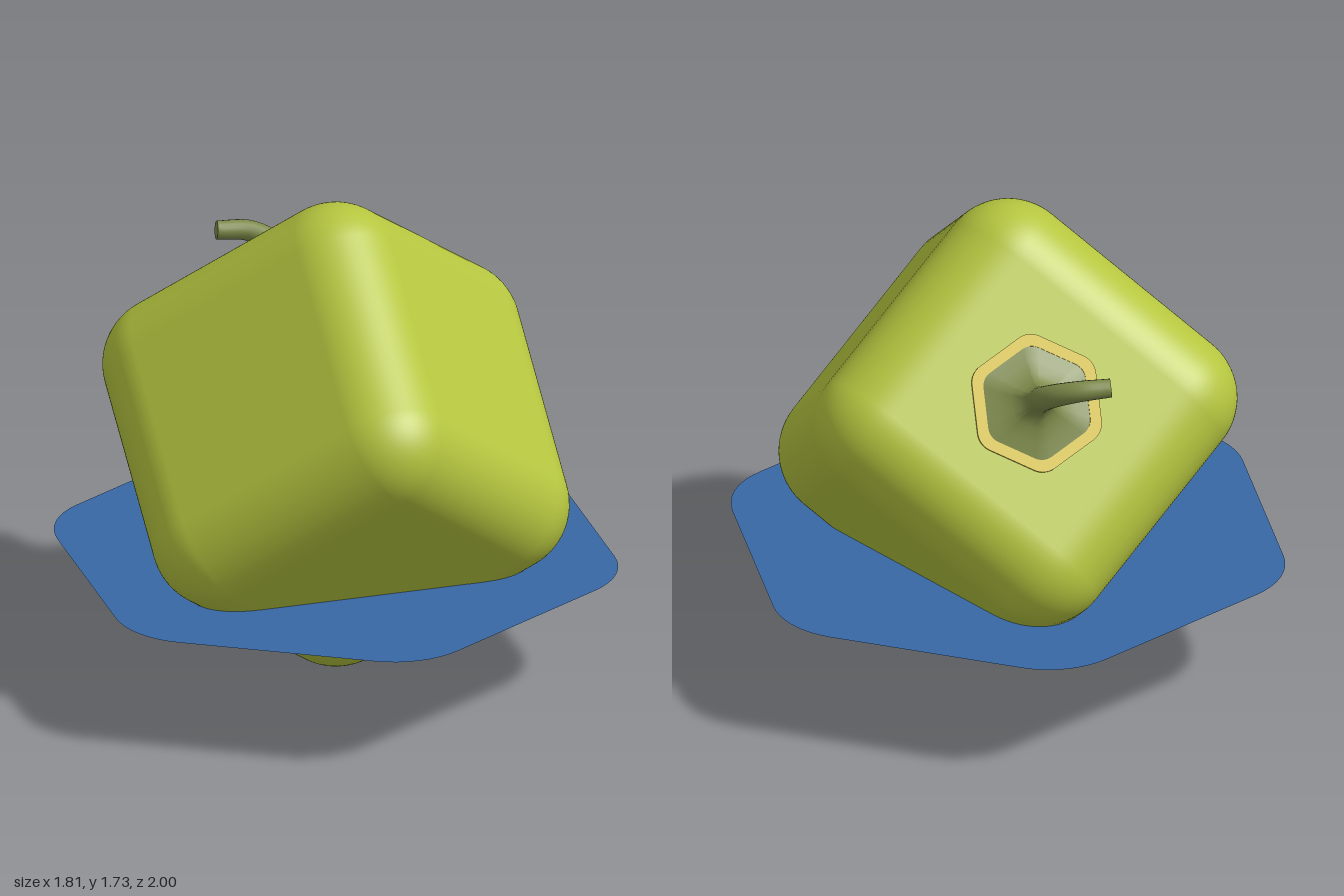
import * as THREE from 'three';
import { RoundedBoxGeometry } from 'three/addons/geometries/RoundedBoxGeometry.js';

const SIDE = 1.2, RADIUS = 0.24, CENTER_Y = 0.8635;
const TILT = -Math.atan(Math.SQRT2); // leans the +y axis onto the back upper face normal

const mat = (name, color, side = THREE.FrontSide) => {
  const m = new THREE.MeshStandardMaterial({ color, side });
  m.name = name;
  return m;
};

// Points of a rounded hexagon (tips on the second axis), 1 unit from centre to tip
function hexPoints(scale, arc = 8) {
  const pts = [];
  for (let k = 0; k < 6; k++) {
    const mid = Math.PI / 6 + k * Math.PI / 3;
    for (let j = 0; j <= arc; j++) {
      const a = mid + (j / arc - 0.5) * Math.PI / 3;
      pts.push(new THREE.Vector2(
        scale * (0.7 * Math.cos(mid) + 0.3 * Math.cos(a)),
        scale * (0.7 * Math.sin(mid) + 0.3 * Math.sin(a))));
    }
  }
  return pts;
}

// Skin over closed rings of equal point count, smooth around and along
function loft(rings) {
  const n = rings[0].length, index = [];
  for (let r = 0; r < rings.length - 1; r++) {
    for (let i = 0; i < n; i++) {
      const a = r * n + i, b = r * n + (i + 1) % n;
      index.push(a, a + n, b, b, a + n, b + n);
    }
  }
  const geo = new THREE.BufferGeometry().setFromPoints(rings.flat());
  geo.setIndex(index);
  geo.computeVertexNormals();
  return geo;
}

function add(parent, name, geometry, material) {
  const mesh = new THREE.Mesh(geometry, material);
  mesh.name = name;
  parent.add(mesh);
  return mesh;
}

export function createModel() {
  const model = new THREE.Group();
  model.name = 'cubeFruit';
  const green = mat('fruitGreen', 0xb5c53f);
  const yellow = mat('rimYellow', 0xd6c035);
  const olive = mat('stemOlive', 0x7d8a4a);
  const blue = mat('waterBlue', 0x3868a6, THREE.DoubleSide);

  // Rounded cube balanced on one corner
  const body = add(model, 'body', new RoundedBoxGeometry(SIDE, SIDE, SIDE, 10, RADIUS), green);
  const s2 = Math.SQRT1_2, s3 = 1 / Math.sqrt(3), s6 = 1 / Math.sqrt(6);
  body.quaternion.setFromRotationMatrix(new THREE.Matrix4().makeBasis(
    new THREE.Vector3(s2, s3, s6),
    new THREE.Vector3(0, s3, -2 * s6),
    new THREE.Vector3(-s2, s3, s6)));
  body.position.y = CENTER_Y;

  // Flat rounded hexagon crossing the lower corner
  const sheet = add(model, 'waterSheet',
    new THREE.ShapeGeometry(new THREE.Shape(hexPoints(1))).rotateX(-Math.PI / 2), blue);
  sheet.position.y = 0.43;

  // Stalk assembly on the back upper face, local y along the face normal
  const stalk = new THREE.Group();
  stalk.name = 'stalk';
  stalk.rotation.x = TILT;
  stalk.position.set(0, CENTER_Y + SIDE / 2 * s3, -SIDE / 2 * 2 * s6);
  model.add(stalk);

  // Yellow rim
  const rimShape = new THREE.Shape(hexPoints(0.243));
  rimShape.holes.push(new THREE.Path(hexPoints(0.2).reverse()));
  add(stalk, 'rim', new THREE.ExtrudeGeometry(rimShape,
    { depth: 0.01, bevelEnabled: false }).rotateX(-Math.PI / 2), yellow);

  // Flared base blending from the hexagon to a round neck: [radius, height, roundness]
  const profile = [[0.203, 0.006, 0], [0.15, 0.018, 0.2], [0.1, 0.034, 0.5],
    [0.068, 0.055, 0.9], [0.052, 0.08, 1], [0.045, 0.11, 1]];
  const hex = hexPoints(1, 5);
  add(stalk, 'stemFlare', loft(profile.map(([r, h, t]) => hex.map(p => {
    const k = r * (1 - t + t / p.length());
    return new THREE.Vector3(p.x * k, h, p.y * k);
  }))), olive);

  // Curved tapering stem
  const path = new THREE.CatmullRomCurve3([[0, 0.06], [0, 0.12], [-0.035, 0.195],
    [-0.105, 0.25], [-0.22, 0.268]].map(([x, y]) => new THREE.Vector3(x, y, 0)));
  const rings = [];
  for (let i = 0; i <= 16; i++) {
    const t = i / 16, p = path.getPointAt(t), d = path.getTangentAt(t), r = 0.046 - 0.013 * t;
    rings.push(Array.from({ length: 16 }, (_, j) => {
      const a = j / 16 * Math.PI * 2, c = r * Math.cos(a);
      return new THREE.Vector3(p.x + d.y * c, p.y - d.x * c, r * Math.sin(a));
    }));
  }
  add(stalk, 'stem', loft(rings), olive);

  // Cut end of the stem
  const tip = add(stalk, 'stemTip', new THREE.CircleGeometry(0.033, 16), olive);
  tip.position.copy(path.getPointAt(1));
  tip.quaternion.setFromUnitVectors(new THREE.Vector3(0, 0, 1), path.getTangentAt(1));

  return model;
}
